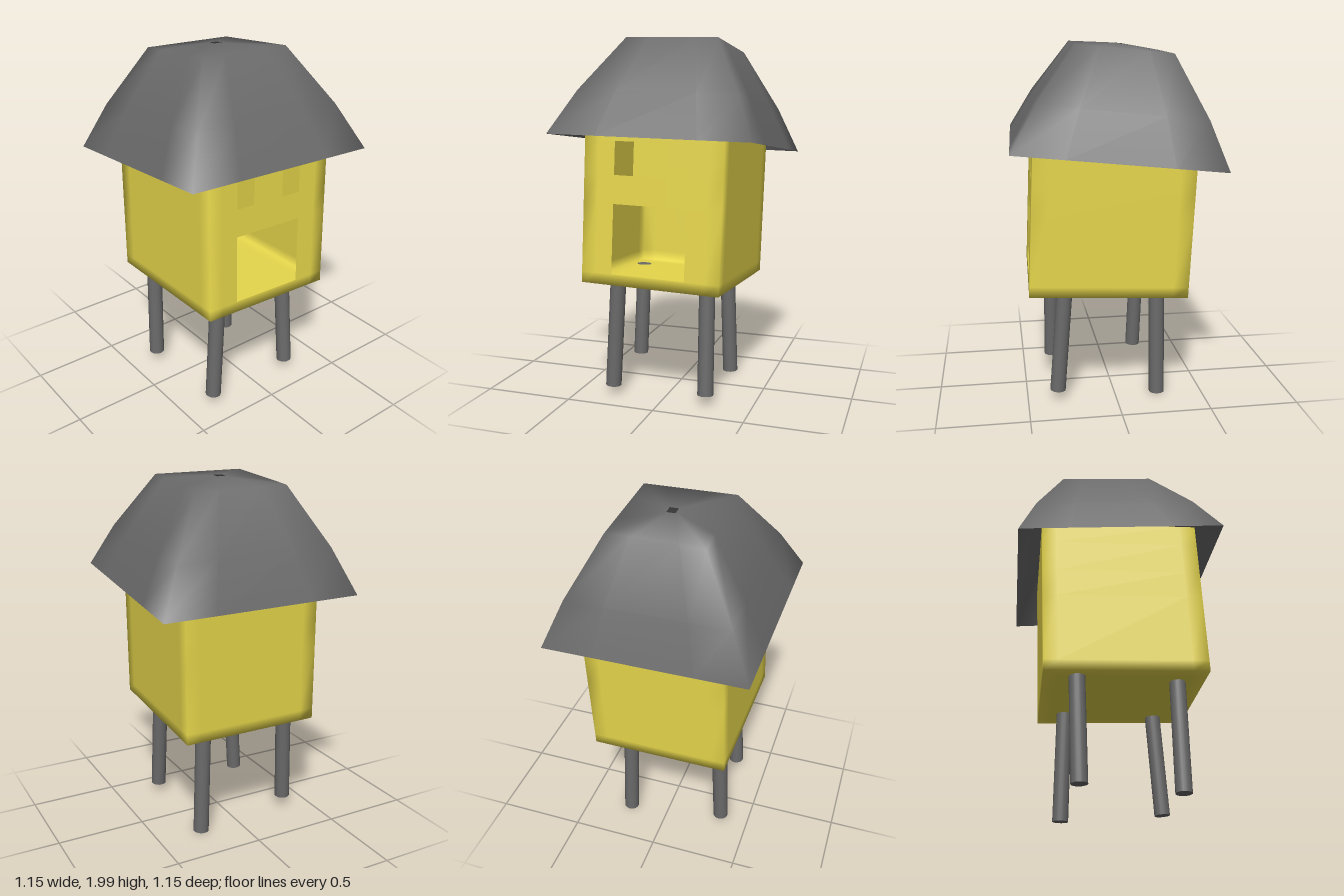
import * as THREE from 'three';
import { mergeVertices } from 'three/addons/utils/BufferGeometryUtils.js';

const material = (color) => new THREE.MeshStandardMaterial({ color, side: THREE.DoubleSide });

// Hollow box on a grid of given lines: open top, door and window cells cut from the front.
function bodyGeometry() {
  const xs = [-0.39, -0.31, -0.215, -0.106, 0.084, 0.2, 0.31, 0.39];
  const ys = [0, 0.06, 0.44, 0.595, 0.775, 0.9];
  const zs = [-0.435, -0.35, 0.35, 0.435];
  const openings = [
    [-0.215, 0.2, 0.06, 0.44], // door
    [-0.215, -0.106, 0.595, 0.775], // windows
    [0.084, 0.2, 0.595, 0.775],
  ];
  let geo = new THREE.BoxGeometry(1, 1, 1, xs.length - 1, ys.length - 1, zs.length - 1);
  geo.deleteAttribute('normal');
  geo.deleteAttribute('uv');
  const p = geo.attributes.position;
  const snap = (v, lines) => lines[Math.round((v + 0.5) * (lines.length - 1))];
  for (let i = 0; i < p.count; i++) {
    p.setXYZ(i, snap(p.getX(i), xs), snap(p.getY(i), ys), snap(p.getZ(i), zs));
  }
  const kept = [];
  const index = geo.index.array;
  for (let i = 0; i < index.length; i += 3) {
    const tri = [index[i], index[i + 1], index[i + 2]];
    const mean = (get) => tri.reduce((s, v) => s + get(v), 0) / 3;
    const x = mean((v) => p.getX(v)), y = mean((v) => p.getY(v)), z = mean((v) => p.getZ(v));
    const isTop = y > 0.899;
    const isHole = z > 0.434 && openings.some(([a, b, c, d]) => x > a && x < b && y > c && y < d);
    if (!isTop && !isHole) kept.push(...tri);
  }
  geo.setIndex(kept);
  geo = mergeVertices(geo, 1e-4);
  geo.computeVertexNormals();
  return geo;
}

// Square rings stacked into a bell-shaped shell with a small smoke hole.
function roofGeometry() {
  const rings = [[0.56, 0], [0.447, 0.245], [0.262, 0.555], [0.025, 0.575]]; // half width, height
  const steps = [-1, -0.5, 0.5];
  const n = steps.length * 4;
  const positions = [];
  const indices = [];
  rings.forEach(([half, y], r) => {
    for (let side = 0; side < 4; side++) {
      const c = Math.round(Math.cos(side * Math.PI / 2));
      const s = Math.round(Math.sin(side * Math.PI / 2));
      for (const t of steps) positions.push(half * (t * c + s), y, half * (c - t * s));
    }
    if (r === 0) return;
    for (let i = 0; i < n; i++) {
      const j = (i + 1) % n;
      const a = (r - 1) * n + i, b = (r - 1) * n + j, d = r * n + i, e = r * n + j;
      indices.push(a, b, e, a, e, d);
    }
  });
  const geo = new THREE.BufferGeometry();
  geo.setAttribute('position', new THREE.Float32BufferAttribute(positions, 3));
  geo.setIndex(indices);
  geo.computeVertexNormals();
  return geo;
}

// Round post between two points.
function post(name, bottom, top, mat) {
  const a = new THREE.Vector3(...bottom);
  const b = new THREE.Vector3(...top);
  const dir = b.clone().sub(a);
  const mesh = new THREE.Mesh(new THREE.CylinderGeometry(0.044, 0.044, dir.length(), 20), mat);
  mesh.name = name;
  mesh.position.copy(a).add(b).multiplyScalar(0.5);
  mesh.quaternion.setFromUnitVectors(new THREE.Vector3(0, 1, 0), dir.normalize());
  return mesh;
}

export function createModel() {
  const model = new THREE.Group();
  model.name = 'stiltHut';
  const yellow = material(0xe8d84c);
  const grey = material(0x6a6a6a);

  // Slightly crooked hollow body
  const body = new THREE.Mesh(bodyGeometry(), yellow);
  body.name = 'body';
  body.position.set(-0.02, 0.643, 0.04);
  body.rotation.set(-0.043, -0.027, -0.026);
  model.add(body);

  // Roof leaning backwards
  const roof = new THREE.Mesh(roofGeometry(), grey);
  roof.name = 'roof';
  roof.position.set(0, 1.41, 0);
  roof.rotation.set(-0.098, -0.027, -0.027);
  model.add(roof);

  // Four uneven stilts
  const legs = [
    ['frontLeftLeg', [0.245, 0.058, 0.33], [0.24, 0.635, 0.285]],
    ['frontRightLeg', [-0.3, 0.052, 0.325], [-0.265, 0.66, 0.322]],
    ['backLeftLeg', [0.235, 0.004, -0.245], [0.215, 0.62, -0.24]],
    ['backRightLeg', [-0.34, 0.07, -0.205], [-0.32, 0.64, -0.225]],
  ];
  for (const [name, bottom, top] of legs) model.add(post(name, bottom, top, grey));

  return model;
}
